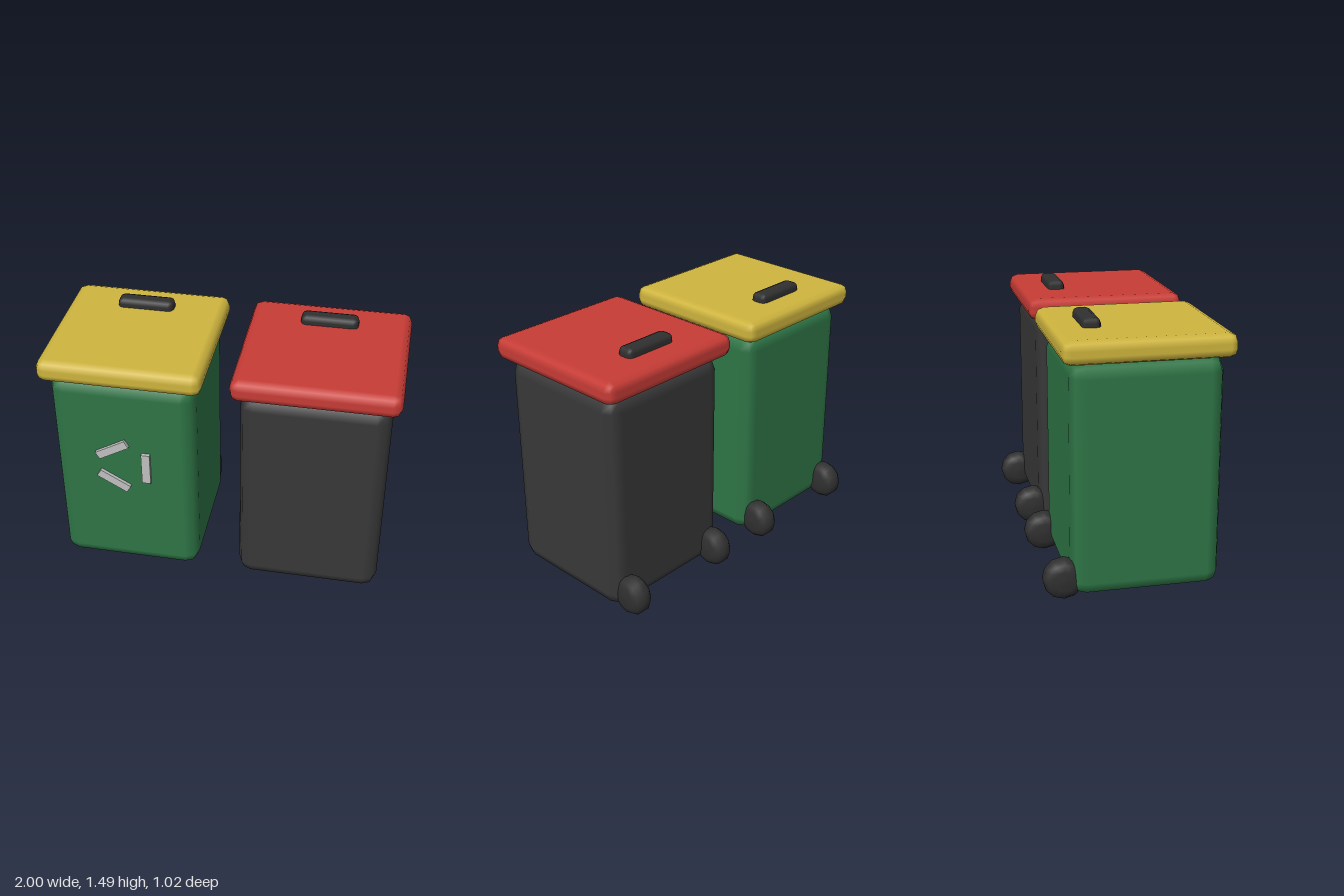
import * as THREE from 'three';
import { RoundedBoxGeometry } from 'three/addons/geometries/RoundedBoxGeometry.js';

function material(name, color) {
  const m = new THREE.MeshStandardMaterial({ color });
  m.name = name;
  return m;
}

function addMesh(parent, name, geometry, mat, x, y, z) {
  const mesh = new THREE.Mesh(geometry, mat);
  mesh.name = name;
  mesh.position.set(x, y, z);
  parent.add(mesh);
  return mesh;
}

// Domed wheel, turned around the x axis
function wheelGeometry() {
  const half = [[0.115, 0.022], [0.094, 0.049], [0.058, 0.062], [0, 0.065]];
  const profile = [
    ...half.slice().reverse().map(([r, h]) => new THREE.Vector2(r, -h)),
    ...half.map(([r, h]) => new THREE.Vector2(r, h)),
  ];
  return new THREE.LatheGeometry(profile, 12).rotateZ(Math.PI / 2);
}

export function createModel() {
  const green = material('green plastic', 0x2e7546);
  const charcoal = material('charcoal plastic', 0x383838);
  const yellow = material('yellow lid', 0xcfb53e);
  const red = material('red lid', 0xc83c36);
  const black = material('black rubber', 0x303030);
  const silver = material('light grey', 0xc0c0c0);

  const bodyGeo = new RoundedBoxGeometry(0.83, 1.29, 0.825, 1, 0.08);
  const lidGeo = new RoundedBoxGeometry(0.925, 0.13, 0.925, 1, 0.05);
  const handleGeo = new RoundedBoxGeometry(0.33, 0.08, 0.1, 1, 0.03);
  const wheelGeo = wheelGeometry();

  function makeBin(name, x, bodyMat, lidMat) {
    const bin = new THREE.Group();
    bin.name = name;
    bin.position.x = x;
    addMesh(bin, 'body', bodyGeo, bodyMat, 0, 0.665, 0.05);
    addMesh(bin, 'lid', lidGeo, lidMat, 0, 1.375, 0.05);
    addMesh(bin, 'lidHandle', handleGeo, black, 0, 1.45, -0.2);
    addMesh(bin, 'leftWheel', wheelGeo, black, 0.33, 0.115, -0.397);
    addMesh(bin, 'rightWheel', wheelGeo, black, -0.33, 0.115, -0.397);
    return bin;
  }

  const model = new THREE.Group();
  model.name = 'wheelieBins';
  const greenBin = makeBin('greenBin', -0.5375, green, yellow);
  model.add(greenBin, makeBin('charcoalBin', 0.5375, charcoal, red));

  // Three bars in a triangle on the green bin's front
  const barGeo = new THREE.BoxGeometry(0.05, 0.2, 0.03);
  for (let i = 0; i < 3; i++) {
    const a = (i * Math.PI * 2) / 3;
    const bar = addMesh(greenBin, 'emblemBar', barGeo, silver,
      0.13 * Math.cos(a), 0.762 + 0.13 * Math.sin(a), 0.468);
    bar.rotation.z = a;
  }
  return model;
}
